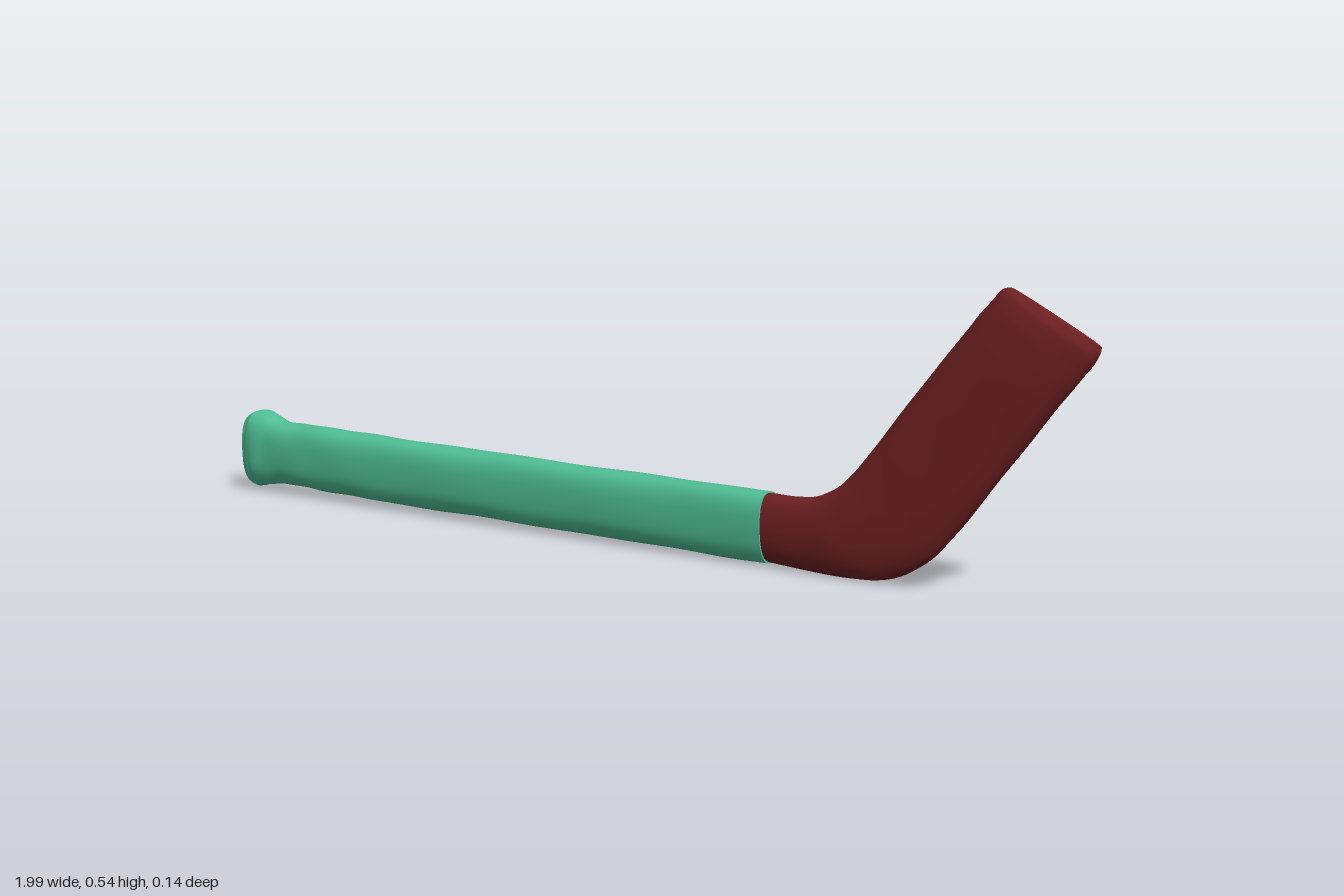
import * as THREE from 'three';

const SIDES = 32;

// Rounded-box cross-section curve
const soft = (v, p) => Math.sign(v) * Math.pow(Math.abs(v), 2 / p);

// Loft through sections [lowX, lowY, highX, highY, centreZ, halfThickness].
// startDepth and endDepth push the cap centres along the stick.
function loft(sections, steps, power, startDepth, endDepth, ripple) {
  const curve = (f) => new THREE.CatmullRomCurve3(sections.map(f), false, 'centripetal');
  const low = curve((s) => new THREE.Vector3(s[0], s[1], s[4]));
  const high = curve((s) => new THREE.Vector3(s[2], s[3], s[4]));
  const thick = new THREE.CatmullRomCurve3(sections.map((s, i) => new THREE.Vector3(i, s[5], 0)), false, 'catmullrom');
  const pos = [], index = [];
  for (let i = 0; i <= steps; i++) {
    const t = i / steps;
    const a = low.getPoint(t), b = high.getPoint(t), w = thick.getPoint(t).y;
    const c = a.clone().add(b).multiplyScalar(0.5);
    const up = b.clone().sub(a).multiplyScalar(0.5);
    for (let j = 0; j < SIDES; j++) {
      const ang = (j / SIDES) * Math.PI * 2;
      const k = 1 + ripple * (Math.sin(t * 61 + 2 * ang) + Math.sin(t * 37 - 3 * ang));
      const p = c.clone().addScaledVector(up, soft(Math.cos(ang), power) * k);
      pos.push(p.x, p.y, p.z + soft(Math.sin(ang), power) * w * k);
      if (i < steps) {
        const n = (j + 1) % SIDES, r = i * SIDES;
        index.push(r + j, r + n, r + SIDES + n, r + j, r + SIDES + n, r + SIDES + j);
      }
    }
  }
  // Caps with their own vertices, so the rims stay sharp
  for (const [ring, depth, flip] of [[0, startDepth, true], [steps, endDepth, false]]) {
    const base = pos.length / 3;
    const t = ring / steps;
    const mid = low.getPoint(t).add(high.getPoint(t)).multiplyScalar(0.5);
    const dir = low.getTangent(t).add(high.getTangent(t)).normalize();
    for (let j = 0; j < SIDES; j++) {
      const o = (ring * SIDES + j) * 3;
      pos.push(pos[o], pos[o + 1], pos[o + 2]);
      const n = (j + 1) % SIDES;
      index.push(base + (flip ? n : j), base + (flip ? j : n), base + SIDES);
    }
    mid.addScaledVector(dir, depth);
    pos.push(mid.x, mid.y, mid.z);
  }
  const g = new THREE.BufferGeometry();
  g.setAttribute('position', new THREE.Float32BufferAttribute(pos, 3));
  g.setIndex(index);
  g.computeVertexNormals();
  return g;
}

export function createModel() {
  const model = new THREE.Group();
  const add = (name, geometry, color) => {
    const mesh = new THREE.Mesh(geometry, new THREE.MeshStandardMaterial({ color }));
    mesh.name = name;
    model.add(mesh);
  };

  // Straight wrapped handle, flared at the butt with a hollow end
  add('handle', loft([
    [-0.99, 0.014, -0.995, 0.166, 0.022, 0.039],
    [-0.965, 0.01, -0.965, 0.177, 0.023, 0.045],
    [-0.9, 0.021, -0.9, 0.158, 0.022, 0.042],
    [-0.78, 0.019, -0.78, 0.156, 0.021, 0.041],
    [-0.6, 0.015, -0.6, 0.152, 0.017, 0.041],
    [-0.3, 0.013, -0.3, 0.148, 0.010, 0.040],
    [0.05, 0.010, 0.05, 0.144, 0.002, 0.038],
    [0.36, 0.007, 0.355, 0.142, -0.005, 0.036],
  ], 90, 2.7, 0.03, 0, 0.009), 0x4fbd95);

  // Bent flat blade with a thinned tip
  add('blade', loft([
    [0.34, 0.011, 0.34, 0.139, -0.004, 0.033],
    [0.45, 0.005, 0.42, 0.140, -0.004, 0.033],
    [0.56, 0.004, 0.47, 0.148, -0.004, 0.033],
    [0.62, 0.013, 0.515, 0.175, -0.007, 0.033],
    [0.685, 0.047, 0.555, 0.218, -0.012, 0.033],
    [0.74, 0.105, 0.60, 0.278, -0.018, 0.033],
    [0.83, 0.225, 0.685, 0.39, -0.030, 0.033],
    [0.92, 0.345, 0.755, 0.48, -0.040, 0.032],
    [0.965, 0.402, 0.79, 0.523, -0.045, 0.028],
    [0.99, 0.436, 0.808, 0.542, -0.047, 0.021],
    [0.995, 0.454, 0.822, 0.545, -0.048, 0.009],
  ], 80, 2.3, 0, 0.003, 0.003), 0x6e2022);

  return model;
}
